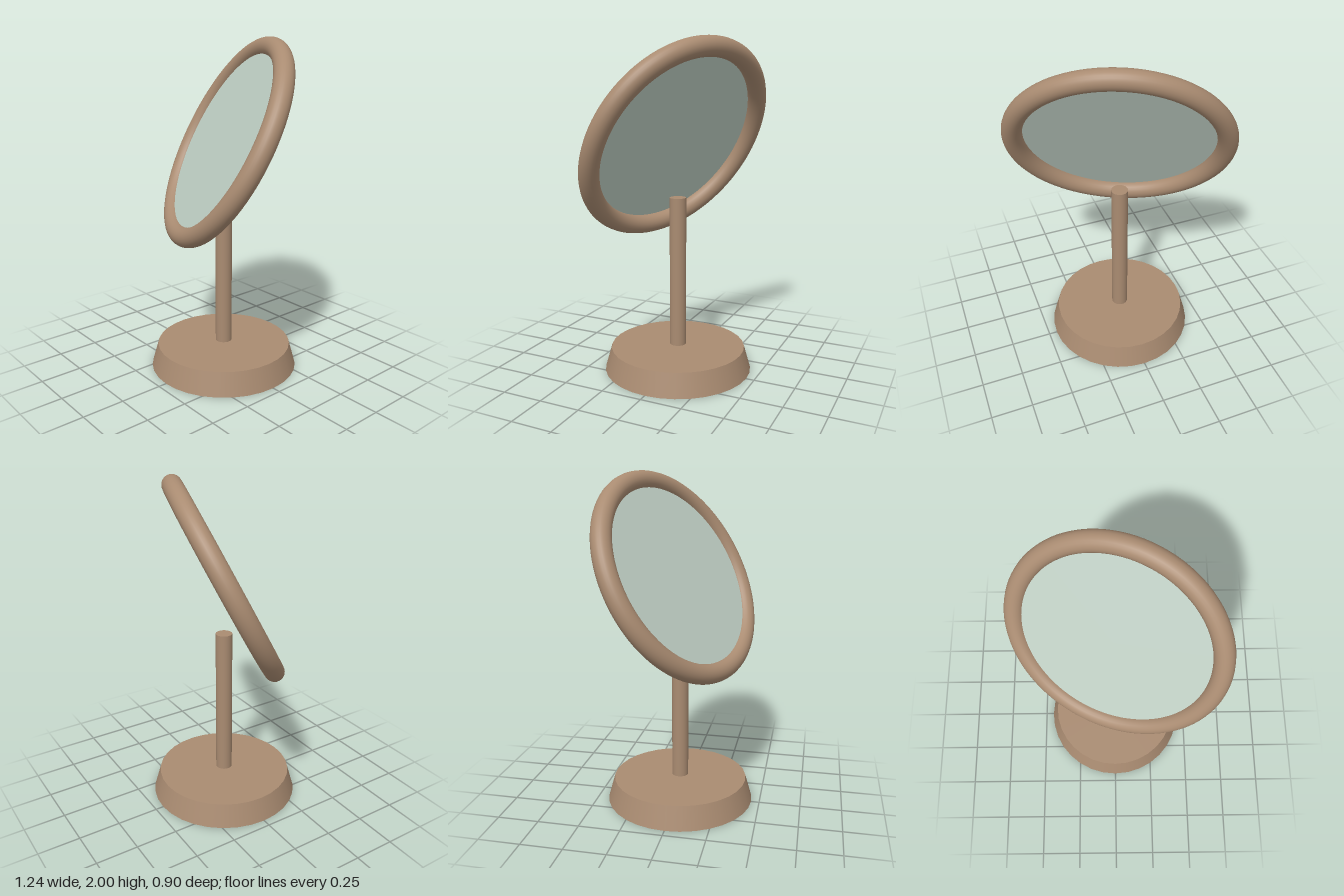
import * as THREE from 'three';

export function createModel() {
  const wood = new THREE.MeshStandardMaterial({ color: 0xa98b71 });
  wood.name = 'warm wood';
  const glass = new THREE.MeshStandardMaterial({ color: 0xc0d0c5, side: THREE.DoubleSide });
  glass.name = 'pale mirror glass';

  const model = new THREE.Group();
  model.name = 'tableMirror';

  const add = (parent, name, geometry, material, y = 0, z = 0) => {
    const mesh = new THREE.Mesh(geometry, material);
    mesh.name = name;
    mesh.position.set(0, y, z);
    parent.add(mesh);
    return mesh;
  };

  // Tapered foot and upright post, separated by a hairline gap
  add(model, 'base', new THREE.CylinderGeometry(0.41, 0.45, 0.14, 32), wood, 0.07);
  add(model, 'post', new THREE.CylinderGeometry(0.05, 0.05, 0.92, 32), wood, 0.61);

  // Tilted head: round frame with a flat glass set slightly forward
  const head = new THREE.Group();
  head.name = 'mirrorHead';
  head.position.y = 1.405;
  const facing = new THREE.Vector3(-0.354, 0.462, 0.8145).normalize();
  head.quaternion.setFromUnitVectors(new THREE.Vector3(0, 0, 1), facing);
  add(head, 'frame', new THREE.TorusGeometry(0.603, 0.058, 24, 96), wood);
  add(head, 'mirrorGlass', new THREE.CircleGeometry(0.57, 64), glass, 0, 0.02);
  model.add(head);

  return model;
}
